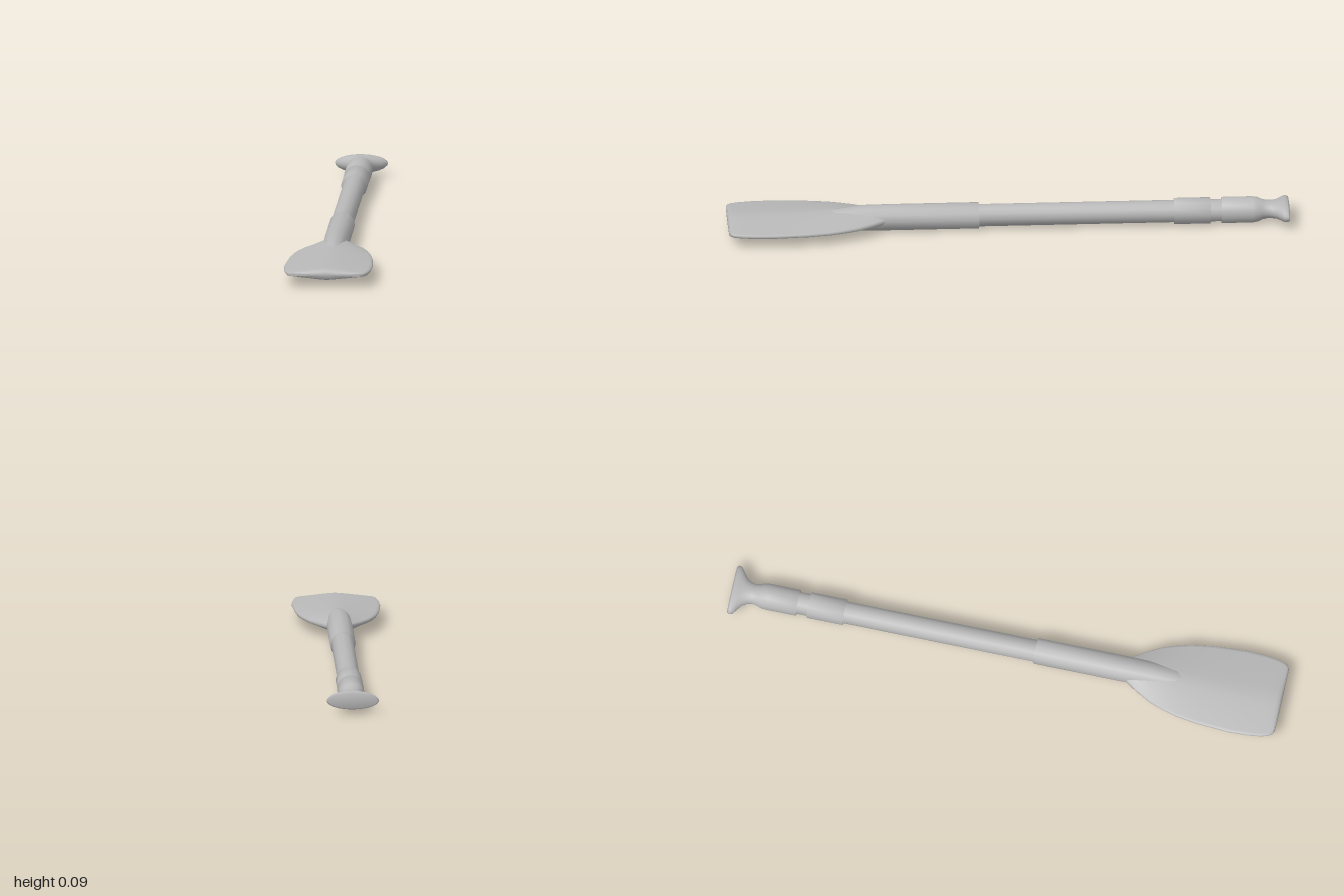
import * as THREE from 'three';

const AXIS_Y = 0.047;

// Skins a list of [z, halfWidth, halfHeight] stations; section(angle, rx, ry) gives each point.
function loft(stations, sides, section) {
  const pos = [], index = [];
  const n = stations.length;
  for (const [z, rx, ry = rx] of stations) {
    for (let j = 0; j < sides; j++) {
      const [x, y] = section((j / sides) * Math.PI * 2, rx, ry);
      pos.push(x, y, z);
    }
  }
  for (let i = 0; i < n - 1; i++) {
    for (let j = 0; j < sides; j++) {
      const k = (j + 1) % sides;
      const a = i * sides + j, b = i * sides + k;
      index.push(a, b, b + sides, a, b + sides, a + sides);
    }
  }
  // end caps share the rim so the ends shade softly
  const back = pos.length / 3, front = back + 1, last = (n - 1) * sides;
  pos.push(0, 0, stations[0][0], 0, 0, stations[n - 1][0]);
  for (let j = 0; j < sides; j++) {
    const k = (j + 1) % sides;
    index.push(back, k, j, front, last + j, last + k);
  }
  const geo = new THREE.BufferGeometry();
  geo.setAttribute('position', new THREE.Float32BufferAttribute(pos, 3));
  geo.setIndex(index);
  geo.computeVertexNormals();
  return geo;
}

const ellipse = (t, rx, ry) => [rx * Math.cos(t), ry * Math.sin(t)];

// Lens section: thick spine thinning almost straight to a narrow edge
const lens = (t, rx, ry) => {
  const c = Math.cos(t), s = Math.sin(t);
  const edge = 0.005;
  const y = edge + (ry - edge) * (1 - Math.pow(Math.abs(c), 1.25));
  return [rx * c, Math.abs(s) < 1e-6 ? 0 : Math.sign(s) * y];
};

export function createModel() {
  const model = new THREE.Group();
  model.name = 'paddle';
  const grey = new THREE.MeshStandardMaterial({ color: 0xb8b8b8 });
  grey.name = 'grey';

  const add = (name, stations, sides = 12, section = ellipse) => {
    const mesh = new THREE.Mesh(loft(stations, sides, section), grey);
    mesh.name = name;
    mesh.position.y = AXIS_Y;
    model.add(mesh);
  };

  add('shaft', [[-0.8, 0.04], [0.15, 0.04]]);

  // socket that narrows into the spine of the blade
  add('bladeSocket', [
    [0.105, 0.047], [0.42, 0.047], [0.53, 0.045, 0.046],
    [0.6, 0.04, 0.036], [0.68, 0.034, 0.025],
  ]);

  add('blade', [
    [0.42, 0.03, 0.03], [0.44, 0.044, 0.035], [0.485, 0.075, 0.035],
    [0.54, 0.106, 0.034], [0.59, 0.124, 0.033], [0.64, 0.138, 0.031],
    [0.72, 0.15, 0.028], [0.84, 0.158, 0.025], [0.91, 0.155, 0.023],
    [0.955, 0.149, 0.022], [0.982, 0.141, 0.021], [0.993, 0.133, 0.018],
    [1.0, 0.12, 0.012],
  ], 32, lens);

  add('sleeve', [[-0.72, 0.047], [-0.59, 0.047]]);

  // hand grip: collar, narrow neck and a wide flattened knob
  add('grip', [
    [-1.0, 0.088, 0.027], [-0.994, 0.094, 0.032], [-0.982, 0.091, 0.033],
    [-0.97, 0.074, 0.032], [-0.955, 0.053, 0.031], [-0.938, 0.041, 0.031],
    [-0.922, 0.037, 0.032], [-0.905, 0.039, 0.036], [-0.888, 0.045, 0.044],
    [-0.87, 0.047, 0.047], [-0.76, 0.047, 0.047],
  ], 24);

  return model;
}
